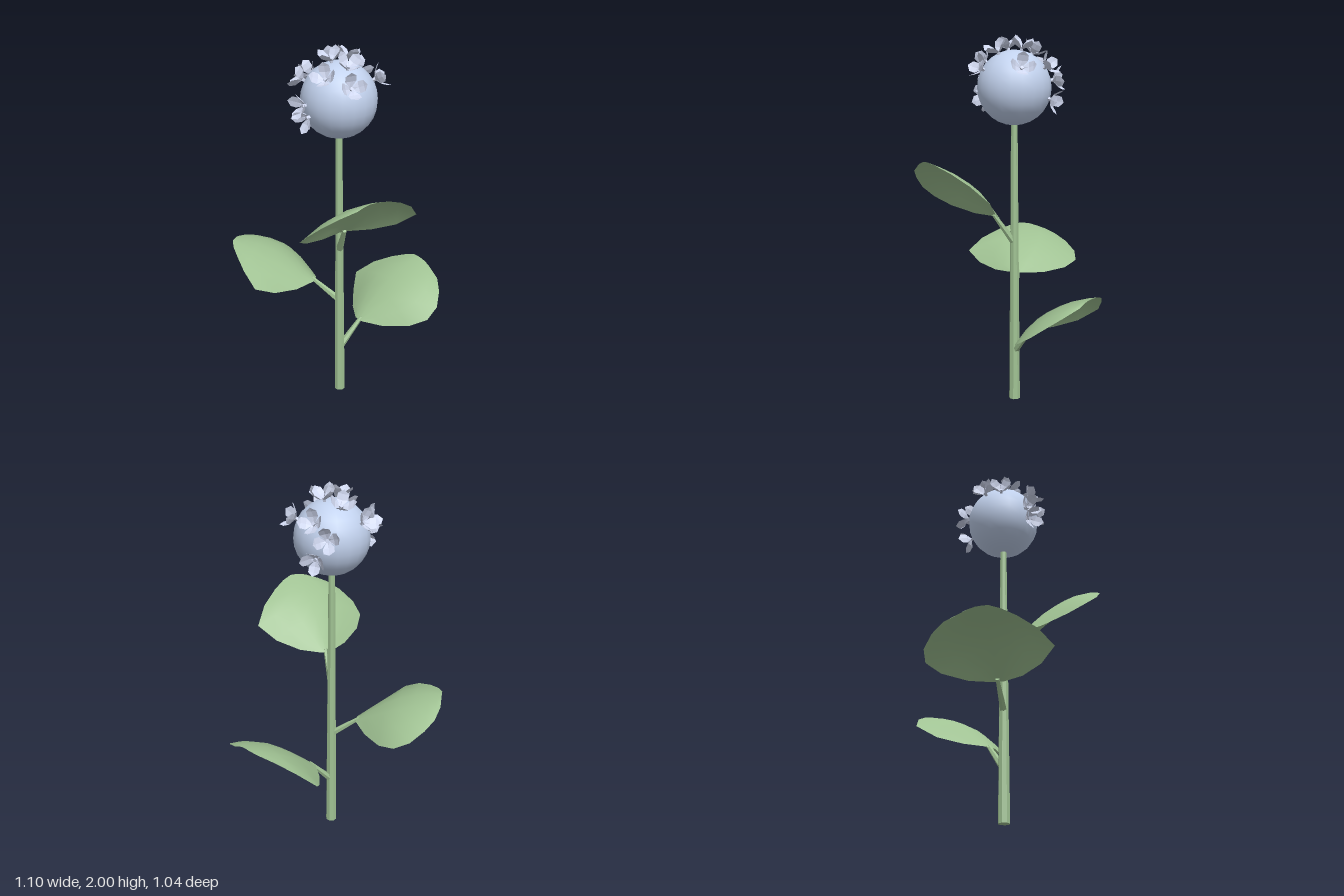
import * as THREE from 'three';

const V = (x, y, z) => new THREE.Vector3(x, y, z);
const UP = V(0, 1, 0);
const green = new THREE.MeshStandardMaterial({ color: 0xa0c293, flatShading: true });
const leafGreen = new THREE.MeshStandardMaterial({ color: 0xa0c293, side: THREE.DoubleSide });
const blue = new THREE.MeshStandardMaterial({ color: 0xc2d2ee });
const petalBlue = new THREE.MeshStandardMaterial({ color: 0xd0d8f0, side: THREE.DoubleSide, flatShading: true });

function part(name, geometry, material) {
  const mesh = new THREE.Mesh(geometry, material);
  mesh.name = name;
  return mesh;
}

// Tapered rod between two points
function rod(name, a, b, r0, r1, sides) {
  const mesh = part(name, new THREE.CylinderGeometry(r1, r0, a.distanceTo(b), sides), green);
  mesh.position.copy(a).lerp(b, 0.5);
  mesh.quaternion.setFromUnitVectors(UP, b.clone().sub(a).normalize());
  return mesh;
}

function meshGeometry(pos, index) {
  const g = new THREE.BufferGeometry();
  g.setAttribute('position', new THREE.Float32BufferAttribute(pos, 3));
  g.setIndex(index);
  g.computeVertexNormals();
  return g;
}

// Leaf rows: [distance along midrib, width and edge height on one side, the same on the other]
const LEAF = [
  [0, 0.03, 0, 0.03, 0],
  [0.14, 0.135, -0.03, 0.14, -0.04],
  [0.34, 0.24, -0.05, 0.26, -0.07],
  [0.52, 0.315, -0.035, 0.32, -0.08],
  [0.7, 0.245, -0.01, 0.31, -0.08],
  [0.85, 0.155, 0, 0.255, -0.065],
  [0.95, 0.085, 0, 0.19, -0.05],
  [1, 0.03, 0, 0.1, -0.03],
];

// Broad lopsided blade from base to tip, arched along the midrib
function leafBlade(base, tip) {
  const axis = tip.clone().sub(base);
  const side = V(axis.z, 0, -axis.x).normalize();
  const cols = 6, pos = [], index = [];
  LEAF.forEach(([t, wPlus, hPlus, wMinus, hMinus], i) => {
    const arch = 0.05 * Math.sin(Math.PI * t);
    for (let j = 0; j <= cols; j++) {
      const s = (j / cols) * 2 - 1;
      const p = base.clone().addScaledVector(axis, t).addScaledVector(side, s * (s > 0 ? wPlus : wMinus));
      p.y += THREE.MathUtils.lerp(arch, s > 0 ? hPlus : hMinus, s * s);
      pos.push(p.x, p.y, p.z);
      if (i && j) {
        const d = i * (cols + 1) + j, c = d - 1, b = d - cols - 1, a = b - 1;
        index.push(a, c, b, b, c, d);
      }
    }
  });
  return part('leafBlade', meshGeometry(pos, index), leafGreen);
}

// One cupped petal reaching along +x, with a pointed end
function petalGeometry() {
  const rows = [[0.008, 0.008, 0], [0.034, 0.029, 0.016], [0.054, 0.028, 0.038]];
  const pos = [], index = [];
  for (const [r, w, h] of rows) pos.push(r, h, w, r, h - 0.004, 0, r, h, -w);
  pos.push(0.066, 0.054, 0);
  for (let i = 0; i < 2; i++) for (let j = 0; j < 2; j++) {
    const a = i * 3 + j;
    index.push(a, a + 3, a + 1, a + 1, a + 3, a + 4);
  }
  index.push(6, 9, 7, 7, 9, 8);
  return meshGeometry(pos, index);
}

export function createModel() {
  const plant = new THREE.Group();
  plant.name = 'flowerPlant';

  // Stem
  plant.add(rod('stem', V(-0.025, 0, 0.01), V(-0.025, 1.56, 0.01), 0.031, 0.018, 8));

  // Leaves: stalk root, blade base, blade tip
  [
    [V(-0.02, 0.28, 0.01), V(0.1, 0.42, 0), V(0.53, 0.69, -0.11)],
    [V(-0.025, 0.89, 0.01), V(-0.045, 1.04, 0.11), V(-0.05, 1.36, 0.52)],
    [V(-0.025, 0.58, 0.01), V(-0.135, 0.69, -0.08), V(-0.503, 0.89, -0.356)],
  ].forEach(([root, base, tip]) => {
    const leaf = new THREE.Group();
    leaf.name = 'leaf';
    const end = base.clone().lerp(tip, 0.04);
    leaf.add(rod('leafStalk', root, end, 0.02, 0.011, 6), leafBlade(base, tip));
    plant.add(leaf);
  });

  // Round flower head
  const centre = V(-0.025, 1.725, 0.01);
  const head = part('flowerHead', new THREE.SphereGeometry(0.197, 20, 14), blue);
  head.position.copy(centre);
  plant.add(head);

  // Small four-petalled florets, placed by their direction from the head's centre
  const petal = petalGeometry();
  [
    [-0.09, 0.1, -0.16], [0.005, 0.18, -0.11], [-0.045, 0.2, 0.01], [0.05, 0.2, -0.015],
    [0.11, 0.04, -0.17], [0.165, 0.12, -0.11], [-0.18, 0.11, -0.11], [-0.21, 0, 0.04],
    [-0.12, 0.14, 0.11], [0.005, 0.18, 0.1], [-0.015, 0.1, 0.19], [0.17, 0.1, 0.06],
    [0.155, -0.06, -0.13], [-0.2, -0.06, 0.06],
  ].forEach((d, i) => {
    const floret = new THREE.Group();
    floret.name = 'floret';
    const dir = V(...d).normalize();
    floret.position.copy(centre).addScaledVector(dir, 0.21);
    floret.quaternion.setFromUnitVectors(UP, dir);
    floret.rotateY(i * 1.1);
    const heart = part('floretCentre', new THREE.CylinderGeometry(0.011, 0.009, 0.03, 4), petalBlue);
    heart.position.y = -0.008;
    floret.add(heart);
    for (let k = 0; k < 4; k++) {
      const p = part('petal', petal, petalBlue);
      p.rotation.y = k * Math.PI / 2;
      floret.add(p);
    }
    plant.add(floret);
  });
  return plant;
}
